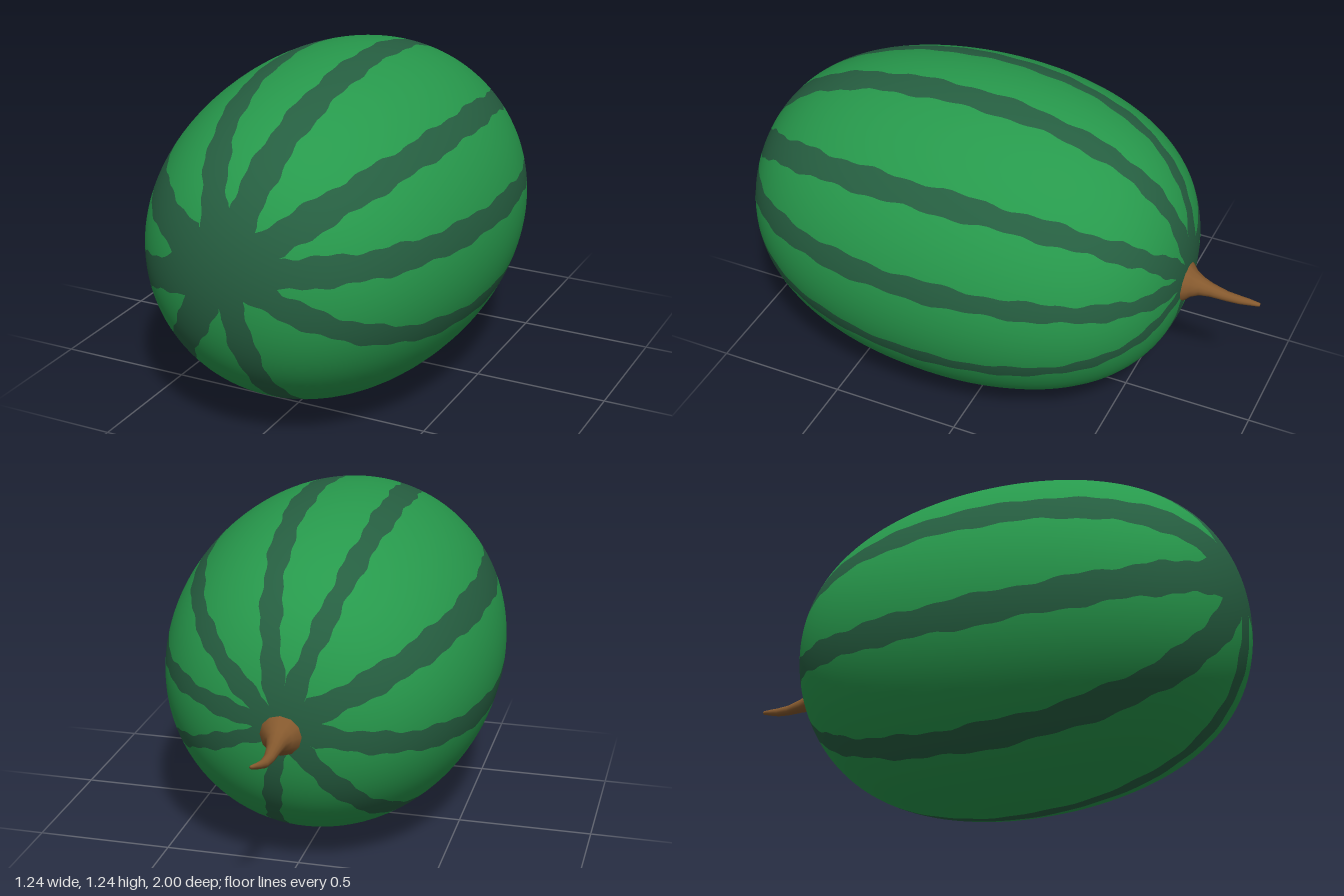
import * as THREE from 'three';
import { mergeGeometries } from 'three/addons/utils/BufferGeometryUtils.js';

const RADIUS = 0.62, CENTER_Y = 0.625, CENTER_Z = 0.115;
const FRONT = 0.885, BACK = 0.835;   // lengths from the widest ring to each end
const FRONT_SHIFT = 0.13;            // stripes meet slightly above the front end
const ROWS = 96;

// Dark stripes: [angle in degrees, half width]
const STRIPES = [
  [10, 0.058], [41, 0.06], [80, 0.063], [110, 0.058], [153, 0.076],
  [191, 0.068], [232, 0.066], [280, 0.054], [338, 0.05],
];

// Point and normal on the rind at stripe latitude lat and angle a
function rind(lat, a) {
  const rho = Math.cos(lat), front = lat > 0;
  const shift = front ? FRONT_SHIFT * (1 - rho * rho) : 0;
  const px = rho * Math.cos(a), py = rho * Math.sin(a) + shift;
  const c = Math.min(1, Math.hypot(px, py));
  const s = Math.sqrt(1 - c * c) * (front ? 1 : -1);
  const len = front ? FRONT : BACK;
  const radial = len * (1 + 0.18 * c * c - 0.36 * s * s);
  return {
    p: [px * RADIUS, CENTER_Y + py * RADIUS, CENTER_Z + len * s * (1 + 0.18 * c * c)],
    n: new THREE.Vector3(px * radial, py * radial, RADIUS * s).normalize().toArray(),
  };
}

// Edge angle of a stripe; side is -1 or +1, with a slightly ragged outline
function edge(k, side, lat) {
  const n = STRIPES.length, i = (k + n) % n;
  const turn = Math.floor(k / n) * Math.PI * 2;
  const [deg, w] = STRIPES[i];
  const q = i * 2.3 + side * 1.1;
  const ragged = 0.005 * Math.sin(lat * 17 + q * 3) + 0.004 * Math.sin(lat * 41 + q * 7);
  const taper = lat < 0 ? 1 - 0.35 * Math.sin(-lat) : 1;
  const r = Math.max(0.01, RADIUS * Math.cos(lat));
  return turn + THREE.MathUtils.degToRad(deg) + side * (w * taper + ragged) / r;
}

// Edges of the light band between stripe k and the next, closed near the ends
function gap(k, lat) {
  const a = edge(k, 1, lat), b = edge(k + 1, -1, lat);
  if (b > a) {
    const mid = (a + b) / 2, g = (b - a) / 2;
    const half = Math.min(Math.sqrt(g * (g + 0.05)), g + 0.02);
    return [mid - half, mid + half];
  }
  const n = STRIPES.length;
  const angle = (j) => STRIPES[j % n][0] + 360 * Math.floor(j / n);
  const mid = THREE.MathUtils.degToRad((angle(k) + angle(k + 1)) / 2);
  return [mid, mid];
}

// Strip of rind running end to end between two edge angles
function band(limits, cols) {
  const pos = [], nor = [], index = [];
  for (let i = 0; i <= ROWS; i++) {
    const lat = (i / ROWS - 0.5) * Math.PI;
    const [a, b] = limits(lat);
    for (let j = 0; j <= cols; j++) {
      const { p, n } = rind(lat, a + (b - a) * j / cols);
      pos.push(...p);
      nor.push(...n);
      if (i < ROWS && j < cols) {
        const v = i * (cols + 1) + j, up = v + cols + 1;
        index.push(v, v + 1, up + 1, v, up + 1, up);
      }
    }
  }
  const geo = new THREE.BufferGeometry();
  geo.setAttribute('position', new THREE.Float32BufferAttribute(pos, 3));
  geo.setAttribute('normal', new THREE.Float32BufferAttribute(nor, 3));
  geo.setIndex(index);
  return geo;
}

// Stem: flared base narrowing to a bent tip, rows are [z, x, y, radius]
function stemGeometry() {
  const rows = [
    [-0.69, 0, 0.592, 0.08], [-0.718, 0, 0.592, 0.074], [-0.74, 0, 0.59, 0.052],
    [-0.77, 0, 0.588, 0.036], [-0.81, -0.002, 0.58, 0.026], [-0.87, -0.003, 0.571, 0.019],
    [-0.92, 0, 0.573, 0.016], [-0.96, 0.008, 0.582, 0.012], [-0.998, 0.019, 0.592, 0.007],
    [-1, 0.02, 0.593, 0],
  ];
  const geo = new THREE.LatheGeometry(rows.map(([z, , , r]) => new THREE.Vector2(r, -z)), 12);
  geo.rotateX(-Math.PI / 2);
  const pos = geo.attributes.position;
  for (let i = 0; i < pos.count; i++) {
    const [, x, y] = rows[i % rows.length];
    pos.setXY(i, pos.getX(i) + x, pos.getY(i) + y);
  }
  return geo;
}

export function createModel() {
  const material = (name, color) => {
    const m = new THREE.MeshStandardMaterial({ color });
    m.name = name;
    return m;
  };
  const group = new THREE.Group();
  group.name = 'watermelon';
  const add = (name, geo, mat) => {
    const mesh = new THREE.Mesh(geo, mat);
    mesh.name = name;
    group.add(mesh);
  };

  // Light and dark bands tile the rind
  const light = [], dark = [];
  STRIPES.forEach((_, k) => {
    light.push(band((lat) => gap(k, lat), 10));
    dark.push(band((lat) => {
      const before = k > 0 ? gap(k - 1, lat)[1] : gap(STRIPES.length - 1, lat)[1] - Math.PI * 2;
      return [before, gap(k, lat)[0]];
    }, 6));
  });
  add('lightRind', mergeGeometries(light), material('light green', 0x27994c));
  add('darkStripes', mergeGeometries(dark), material('dark green', 0x265f41));
  add('stem', stemGeometry(), material('stem brown', 0x85592e));
  return group;
}
